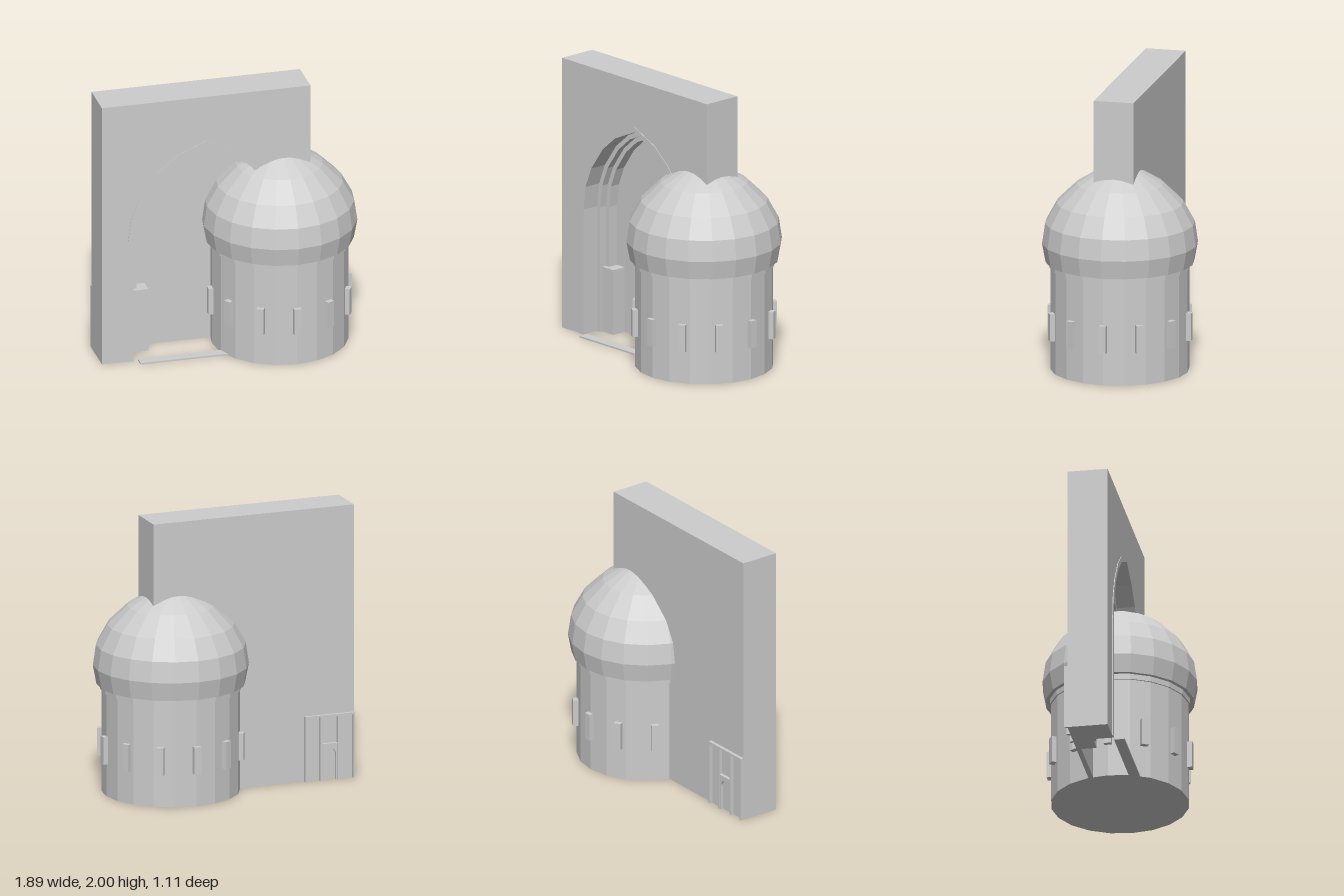
import * as THREE from 'three';

const stone = new THREE.MeshStandardMaterial({ color: 0xcccccc, flatShading: true });
stone.name = 'pale grey stone';

const WALL = { left: -0.95, right: 0.58, top: 2, front: 0.145, back: -0.145 };
const TOWER_X = 0.39;
const SIDES = 20;

function add(parent, name, geometry, x = 0, y = 0, z = 0) {
  const mesh = new THREE.Mesh(geometry, stone);
  mesh.name = name;
  mesh.position.set(x, y, z);
  parent.add(mesh);
  return mesh;
}

// Box given by its limits on each axis
function block(parent, name, x0, x1, y0, y1, z0, z1) {
  return add(parent, name, new THREE.BoxGeometry(x1 - x0, y1 - y0, z1 - z0),
    (x0 + x1) / 2, (y0 + y1) / 2, (z0 + z1) / 2);
}

function slab(parent, name, points, z0, z1, hole) {
  const shape = new THREE.Shape(points);
  if (hole) shape.holes.push(new THREE.Path(hole));
  const geometry = new THREE.ExtrudeGeometry(shape, { depth: z1 - z0, bevelEnabled: false });
  return add(parent, name, geometry, 0, 0, z0);
}

// Pointed arch from left foot over the apex to right foot, narrowed by inset
function archPoints(inset) {
  const centre = -0.185, half = 0.535, spring = 0.925, rise = 0.695;
  const left = [[0.535, 0], [0.535, 0.925], [0.512, 1.1], [0.452, 1.25], [0.33, 1.42], [0.2, 1.53]];
  const sx = (half - inset) / half, sy = (rise - inset) / rise;
  const fit = (x, y) => new THREE.Vector2(centre + x * sx, y > spring ? spring + (y - spring) * sy : y);
  return [
    ...left.map(([x, y]) => fit(-x, y)),
    fit(0, spring + rise),
    ...left.slice().reverse().map(([x, y]) => fit(x, y)),
  ];
}

function createGateWall() {
  const wall = new THREE.Group();
  wall.name = 'gateWall';
  block(wall, 'wallBack', WALL.left, WALL.right, 0, WALL.top, WALL.back, -0.11);

  // Stepped niche: each layer has a smaller arch than the one in front
  const layers = [[0.02, WALL.front, 0], [-0.034, 0.02, 0.035], [-0.11, -0.034, 0.07]];
  layers.forEach(([z0, z1, inset], i) => {
    const outline = [
      new THREE.Vector2(WALL.left, 0),
      ...archPoints(inset),
      new THREE.Vector2(WALL.right, 0),
      new THREE.Vector2(WALL.right, WALL.top),
      new THREE.Vector2(WALL.left, WALL.top),
    ];
    slab(wall, `wallLayer${i + 1}`, outline, z0, z1);
  });

  // Thin raised band around the arch
  slab(wall, 'archBand', [...archPoints(-0.04), ...archPoints(0).reverse()], WALL.front, 0.15);

  block(wall, 'nichePedestal', -0.685, -0.57, 0, 0.48, -0.11, 0);
  block(wall, 'doorStep', -0.685, 0.3, 0, 0.012, WALL.front, 0.22);
  return wall;
}

// Framed screen on the back of the wall
function createBackScreen() {
  const screen = new THREE.Group();
  screen.name = 'backScreen';
  const z0 = -0.17, z1 = WALL.back, top = 0.48;
  const bar = 0.014;
  for (const x of [-0.95, -0.833, -0.699, -0.584]) {
    block(screen, 'screenPost', x, x + bar, 0, top, z0, z1);
  }
  block(screen, 'screenTopRail', -0.936, -0.584, top - bar, top, z0, z1);
  block(screen, 'screenMiddleRail', -0.819, -0.699, 0.255, 0.269, z0, z1);

  // Round-headed doorway under the middle rail
  const door = [
    new THREE.Vector2(-0.819, 0), new THREE.Vector2(-0.807, 0),
  ];
  for (let i = 0; i <= 10; i++) {
    const a = Math.PI * (1 - i / 10);
    door.push(new THREE.Vector2(-0.759 + 0.048 * Math.cos(a), 0.18 + 0.052 * Math.sin(a)));
  }
  door.push(new THREE.Vector2(-0.711, 0), new THREE.Vector2(-0.699, 0),
    new THREE.Vector2(-0.699, 0.255), new THREE.Vector2(-0.819, 0.255));
  slab(screen, 'screenDoorway', door, z0 + 0.006, z1);
  return screen;
}

function createTower() {
  const tower = new THREE.Group();
  tower.name = 'tower';
  tower.position.x = TOWER_X;
  add(tower, 'drum', new THREE.CylinderGeometry(0.493, 0.493, 0.79, SIDES), 0, 0.395, 0);
  add(tower, 'collar', new THREE.CylinderGeometry(0.503, 0.503, 0.04, SIDES), 0, 0.77, 0);

  const profile = [[0, 0.79], [0.53, 0.79], [0.555, 0.925], [0.533, 1.075],
    [0.452, 1.222], [0.31, 1.36], [0.15, 1.455], [0, 1.5]];
  add(tower, 'dome', new THREE.LatheGeometry(profile.map(([r, y]) => new THREE.Vector2(r, y)), SIDES));

  // Ring of upright blocks around the drum
  for (let i = 0; i < 12; i++) {
    const a = (i * Math.PI) / 6;
    const peg = add(tower, 'drumBlock', new THREE.BoxGeometry(0.053, 0.2, 0.05),
      0.5 * Math.sin(a), 0.34, 0.5 * Math.cos(a));
    peg.rotation.y = a;
  }
  return tower;
}

export function createModel() {
  const model = new THREE.Group();
  model.name = 'gateWithDomedTower';
  model.add(createGateWall(), createBackScreen(), createTower());
  return model;
}
